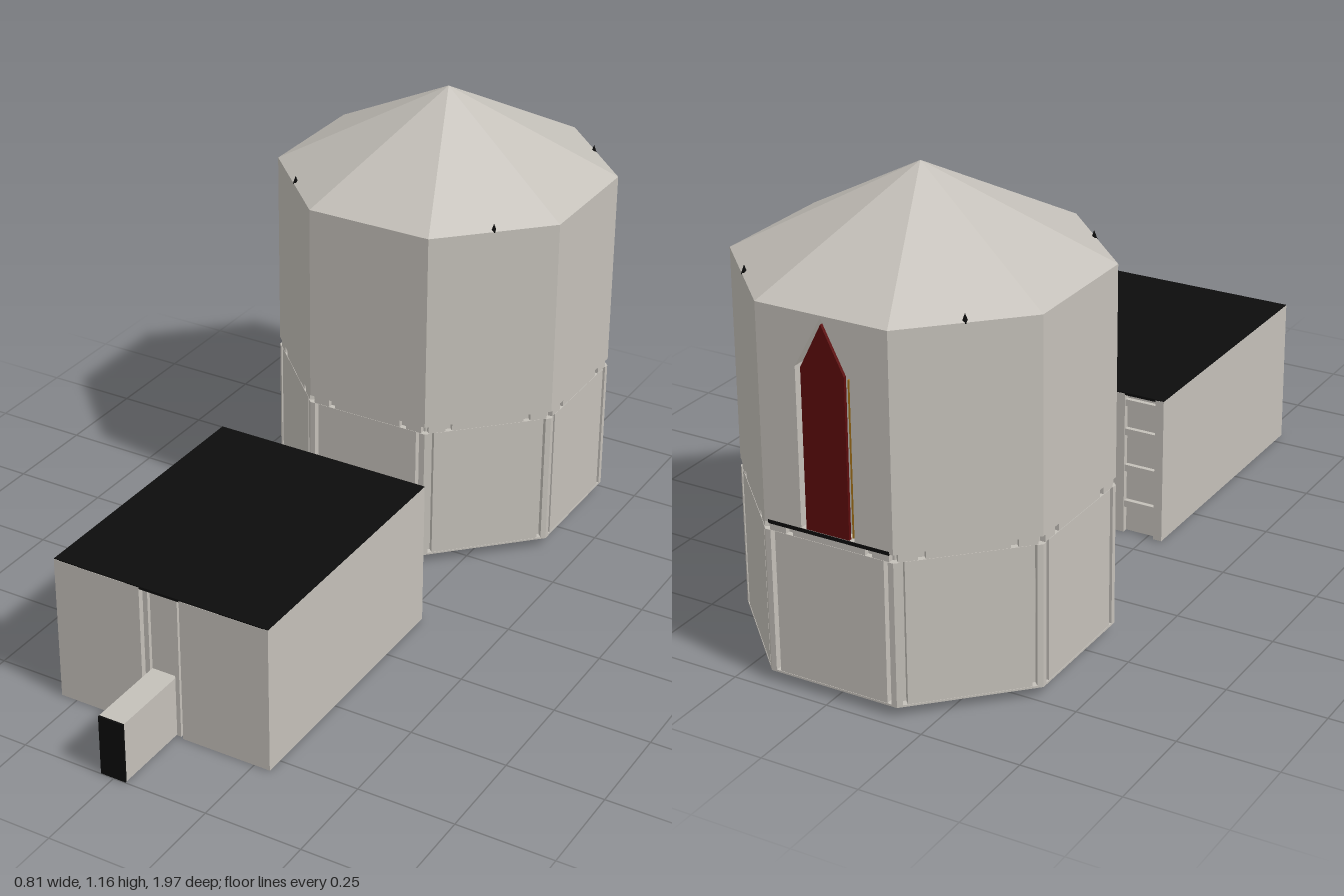
import * as THREE from 'three';

const mat = (name, color) => new THREE.MeshStandardMaterial({ name, color, flatShading: true });

export function createModel() {
  const stone = mat('stone', 0xc4c0b9);
  const black = mat('black', 0x0c0c0c);
  const red = mat('dark red', 0x5c0c0c);
  const gold = mat('gold', 0xa87418);

  const model = new THREE.Group();
  model.name = 'towerAndHall';
  const group = (name, parent) => {
    const g = new THREE.Group();
    g.name = name;
    parent.add(g);
    return g;
  };
  const add = (parent, name, geo, material, x = 0, y = 0, z = 0) => {
    const m = new THREE.Mesh(geo, material);
    m.name = name;
    m.position.set(x, y, z);
    parent.add(m);
    return m;
  };
  // Box given by its minimum and maximum on each axis
  const box = (parent, name, material, x0, x1, y0, y1, z0, z1) =>
    add(parent, name, new THREE.BoxGeometry(x1 - x0, y1 - y0, z1 - z0), material,
      (x0 + x1) / 2, (y0 + y1) / 2, (z0 + z1) / 2);

  // ---- Octagonal tower ----
  const A = 0.4065;                       // centre to flat side
  const toR = 1 / Math.cos(Math.PI / 8);
  const half = A * Math.tan(Math.PI / 8); // half the width of a side
  const tower = group('tower', model);
  tower.position.z = -0.5625;
  const octagon = (name, apothem, y0, y1, top = apothem) => {
    const g = new THREE.CylinderGeometry(top * toR, apothem * toR, y1 - y0, 8).rotateY(Math.PI / 8);
    return add(tower, name, g, stone, 0, (y0 + y1) / 2, 0);
  };
  octagon('towerFloor', A, 0.025, 0.03);
  octagon('lowerCore', A - 0.018, 0.03, 0.385);
  octagon('bandCore', A - 0.015, 0.385, 0.405);
  octagon('upperCore', A - 0.03, 0.405, 0.93);
  octagon('roof', A, 0.93, 1.155, 0.0005);

  // Pointed arch outline standing on y0
  const arch = (path, w, y0, shoulder, tip) => {
    path.moveTo(-w, y0);
    path.lineTo(w, y0);
    path.lineTo(w, shoulder);
    path.lineTo(0, tip);
    path.lineTo(-w, shoulder);
    path.closePath();
    return path;
  };

  for (let i = 0; i < 8; i++) {
    const side = group('towerSide', tower);
    side.rotation.y = (i * Math.PI) / 4;

    // Upper wall, pierced by the arch on the back side
    const wall = new THREE.Shape();
    wall.moveTo(-half, 0.405);
    wall.lineTo(half, 0.405);
    wall.lineTo(half, 0.93);
    wall.lineTo(-half, 0.93);
    wall.closePath();
    if (i === 4) wall.holes.push(arch(new THREE.Path(), 0.07, 0.412, 0.8, 0.925));
    add(side, 'upperWall', new THREE.ExtrudeGeometry(wall, { depth: 0.03, bevelEnabled: false }),
      stone, 0, 0, A - 0.03);

    // Lower wall panel between corner posts
    box(side, 'lowerPanel', stone, -0.143, 0.143, 0.03, 0.385, A - 0.03, A - 0.001);
    for (const s of [-1, 1]) {
      const p = s * (half - 0.007);
      box(side, 'cornerPost', stone, p - 0.007, p + 0.007, 0.03, 0.385, A - 0.02, A);
    }
    // Small blocks in the slot between the storeys
    for (const x of [-0.135, 0, 0.135]) {
      const w = x ? 0.022 : 0.095;
      box(side, 'bandBlock', stone, x - w, x + w, 0.385, 0.405, A - 0.02, A - 0.002);
    }
    // Tips of the arches at the eaves of the diagonal sides
    if (i % 2) {
      add(side, 'archTip', new THREE.ConeGeometry(0.008, 0.022, 4), black, 0, 0.939, A - 0.006);
    }
    // Pointed window
    if (i === 4) {
      const pane = arch(new THREE.Shape(), 0.056, 0.412, 0.8, 0.91);
      add(side, 'windowPane', new THREE.ExtrudeGeometry(pane, { depth: 0.008, bevelEnabled: false }),
        red, 0, 0, A - 0.008);
      box(side, 'windowEdge', gold, 0.057, 0.067, 0.413, 0.79, A - 0.02, A - 0.012);
      box(side, 'windowSill', black, -half + 0.01, half - 0.01, 0.402, 0.411, A - 0.02, A + 0.001);
    }
  }

  // Stepped boss beneath the tower
  for (const [r, y, h, m] of [[0.18, 0.022, 0.005, stone], [0.15, 0.019, 0.006, stone],
    [0.075, 0.015, 0.006, stone], [0.03, 0.012, 0.005, black]]) {
    add(tower, 'floorBoss', new THREE.CylinderGeometry(r, r, h, 6), m, 0, y, 0);
  }

  // ---- Passage between tower and hall ----
  const passage = group('passage', model);
  box(passage, 'passageBody', stone, -0.055, 0.055, 0.025, 0.14, -0.18, 0.09);
  box(passage, 'passagePlate', black, -0.11, 0.11, 0.025, 0.138, 0.04, 0.05);
  box(passage, 'passagePlateFace', stone, -0.104, 0.104, 0.031, 0.132, 0.038, 0.04);

  // ---- Hall ----
  const hall = group('hall', model);
  box(hall, 'hallCore', stone, -0.292, 0.292, 0, 0.382, 0.085, 0.78);
  box(hall, 'hallRoof', black, -0.2925, 0.2925, 0.38, 0.387, 0.071, 0.794);
  for (const s of [-1, 1]) {
    const slab = (name, a, b, y0, y1, z0, z1) =>
      box(hall, name, stone, Math.min(s * a, s * b), Math.max(s * a, s * b), y0, y1, z0, z1);
    slab('hallSide', 0.28, 0.293, 0, 0.385, 0.07, 0.795);
    slab('frontPanel', 0.055, 0.292, 0, 0.384, 0.77, 0.795);
    slab('doorPost', 0.035, 0.046, 0, 0.384, 0.77, 0.79);
    slab('backPanel', 0.055, 0.185, 0, 0.384, 0.07, 0.09);
    slab('backPost', 0.27, 0.28, 0, 0.384, 0.07, 0.09);
    for (const y of [0.07, 0.17, 0.27, 0.35]) {
      slab('backRung', 0.185, 0.27, y, y + 0.018, 0.073, 0.09);
    }
  }
  // Red threshold plates set in the floor
  box(hall, 'floorPlate', red, -0.05, 0.05, -0.001, 0.002, 0.68, 0.76);
  box(hall, 'floorPlate', red, -0.035, 0.035, -0.001, 0.002, 0.19, 0.25);

  // ---- Entrance porch ----
  const porch = group('porch', model);
  box(porch, 'porchBody', stone, -0.035, 0.033, 0, 0.16, 0.77, 0.995);
  box(porch, 'porchDoor', black, -0.035, 0.033, 0, 0.16, 0.995, 1);

  return model;
}
